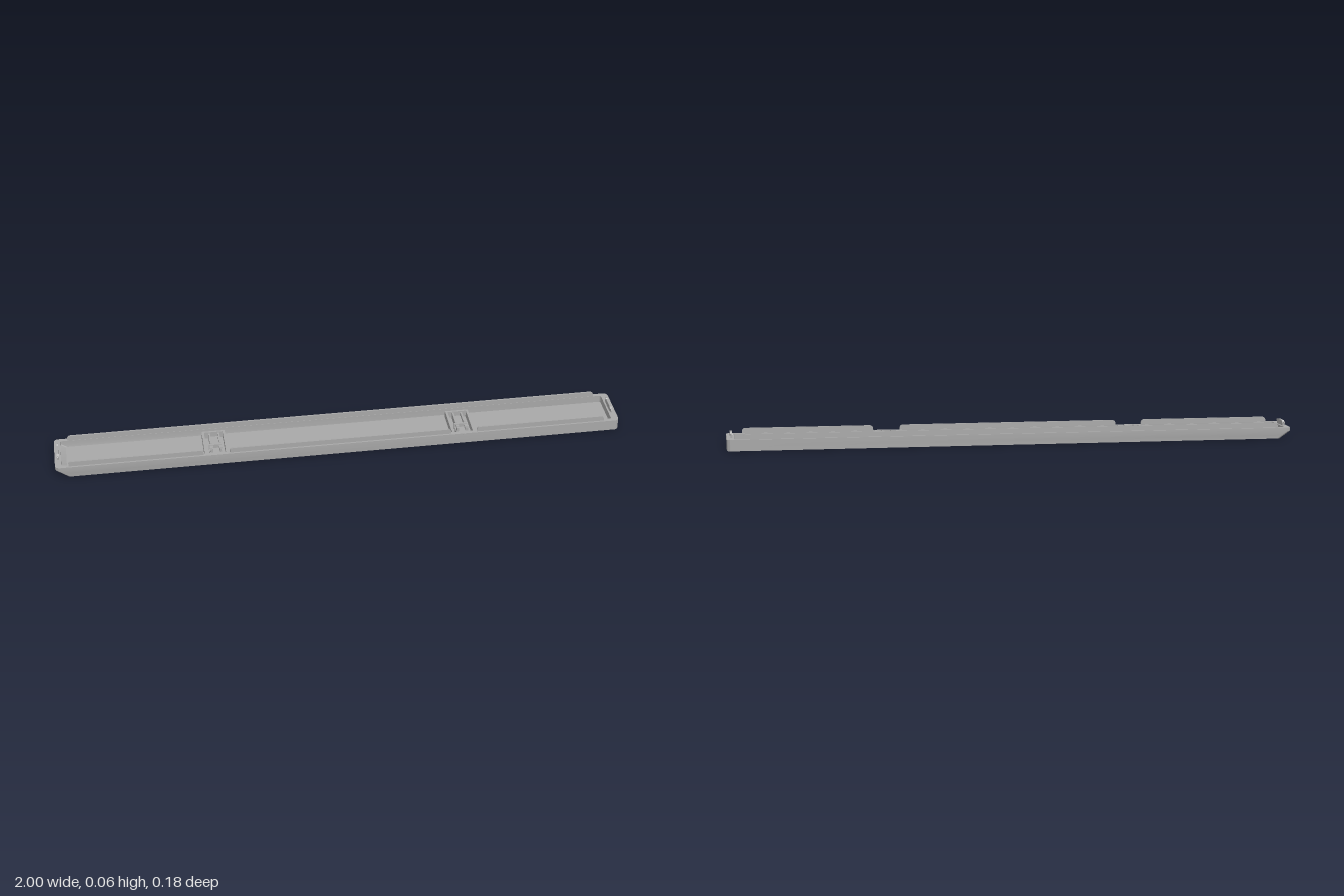
import * as THREE from 'three';
import { toCreasedNormals } from 'three/addons/utils/BufferGeometryUtils.js';

const TOP = 0.039, FLOOR = 0.013, PEAK = 0.057;

// Rounded rectangle traced on any Path or Shape
function roundedRect(p, x0, y0, x1, y1, r) {
  p.moveTo(x0 + r, y0);
  p.lineTo(x1 - r, y0);
  p.absarc(x1 - r, y0 + r, r, -Math.PI / 2, 0);
  p.lineTo(x1, y1 - r);
  p.absarc(x1 - r, y1 - r, r, 0, Math.PI / 2);
  p.lineTo(x0 + r, y1);
  p.absarc(x0 + r, y1 - r, r, Math.PI / 2, Math.PI);
  p.lineTo(x0, y0 + r);
  p.absarc(x0 + r, y0 + r, r, Math.PI, Math.PI * 1.5);
  return p;
}

// Extrude a plan shape upward, slanting the underside of the -x end
function slab(shape, y0, y1, steps) {
  const g = new THREE.ExtrudeGeometry(shape, { depth: y1 - y0, steps, bevelEnabled: false, curveSegments: 6 });
  g.rotateX(-Math.PI / 2).translate(0, y0, 0);
  const pos = g.attributes.position;
  for (let i = 0; i < pos.count; i++) {
    if (pos.getX(i) < -0.9) pos.setX(i, pos.getX(i) + Math.max(0, 0.026 - pos.getY(i)) * 1.4);
  }
  return toCreasedNormals(g, 0.5);
}

export function createModel() {
  const root = new THREE.Group();
  const gray = new THREE.MeshStandardMaterial({ color: 0xa8a8a8 });
  gray.name = 'plain gray';

  const add = (parent, name, geometry) => {
    const m = new THREE.Mesh(geometry, gray);
    m.name = name;
    parent.add(m);
    return m;
  };
  const box = (parent, name, x0, x1, y0, y1, z0, z1) =>
    add(parent, name, new THREE.BoxGeometry(x1 - x0, y1 - y0, z1 - z0))
      .position.set((x0 + x1) / 2, (y0 + y1) / 2, (z0 + z1) / 2);

  // Shallow tray: floor and surrounding wall
  const outline = () => roundedRect(new THREE.Shape(), -1, -0.087, 1, 0.087, 0.016);
  add(root, 'trayFloor', slab(outline(), 0, FLOOR, 1));
  const rim = outline();
  rim.holes.push(roundedRect(new THREE.Path(), -0.978, -0.073, 0.974, 0.073, 0.006));
  add(root, 'trayWall', slab(rim, FLOOR, TOP, 2));

  // Thin upright rails with rounded upper corners
  const rail = (name, x0, x1, z) => {
    const s = new THREE.Shape(), r = 0.012, y0 = TOP - 0.002;
    s.moveTo(x0, y0);
    s.lineTo(x1, y0);
    s.lineTo(x1, PEAK - r);
    s.absarc(x1 - r, PEAK - r, r, 0, Math.PI / 2);
    s.lineTo(x0 + r, PEAK);
    s.absarc(x0 + r, PEAK - r, r, Math.PI / 2, Math.PI);
    const g = new THREE.ExtrudeGeometry(s, { depth: 0.006, bevelEnabled: false, curveSegments: 5 });
    add(root, name, toCreasedNormals(g.translate(0, 0, z - 0.003), 0.5));
  };
  rail('backRail', -0.953, 0.945, -0.077);
  [[-0.953, -0.487], [-0.393, 0.39], [0.484, 0.945]].forEach(([a, b]) => rail('frontRail', a, b, 0.078));

  // Tapered tab flanked by two outward hooks at each end
  const tab = new THREE.Shape([[-0.031, 0.036], [0.031, 0.036], [0.03, 0.048], [0.025, PEAK], [-0.025, PEAK], [-0.03, 0.048]]
    .map(([a, b]) => new THREE.Vector2(a, b)));
  const hook = s => new THREE.Shape([[0.03, 0.036], [0.037, 0.036], [0.037, 0.048], [0.042, 0.048], [0.042, 0.052], [0.039, 0.054], [0.034, 0.054], [0.03, 0.05]]
    .map(([a, b]) => new THREE.Vector2(a * s, b)));
  for (const x of [-0.988, 0.984]) {
    const end = new THREE.Group();
    end.name = 'endCatch';
    const plate = (name, shape, depth) => add(end, name,
      new THREE.ExtrudeGeometry(shape, { depth, bevelEnabled: false }).translate(0, 0, -depth / 2).rotateY(Math.PI / 2));
    plate('endTab', tab, 0.008);
    plate('endHook', hook(1), 0.006);
    plate('endHook', hook(-1), 0.006);
    end.position.x = x;
    root.add(end);
  }

  // Two clip pockets reaching in from the front wall
  for (const x of [-0.44, 0.437]) {
    const clip = new THREE.Group();
    clip.name = 'clipPocket';
    const y0 = FLOOR - 0.002;
    for (const s of [-1, 1]) {
      const c = s * 0.038;
      box(clip, 'pocketSide', c - 0.004, c + 0.004, y0, TOP - 0.001, -0.058, 0.075);
      const t = s * 0.016;
      box(clip, 'tongueRib', t - 0.003, t + 0.003, y0, 0.036, -0.05, 0.012);
      box(clip, 'latchPost', t - 0.005, t + 0.005, y0, 0.042, 0.04, 0.056);
      box(clip, 'latchLip', t - 0.006, t + 0.006, 0.038, 0.044, 0.036, 0.05);
    }
    box(clip, 'pocketBack', -0.042, 0.042, y0, TOP - 0.001, -0.06, -0.053);
    box(clip, 'tongue', -0.016, 0.016, y0, 0.024, -0.046, 0.012);
    box(clip, 'crossWall', -0.024, 0.024, y0, 0.034, 0.012, 0.019);
    box(clip, 'latchBase', -0.024, 0.024, y0, 0.028, 0.03, 0.075);
    const pin = add(clip, 'latchPin', new THREE.CylinderGeometry(0.005, 0.005, 0.006, 12).rotateX(Math.PI / 2));
    pin.position.set(0, 0.034, 0.0855);
    clip.position.x = x;
    root.add(clip);
  }
  return root;
}
